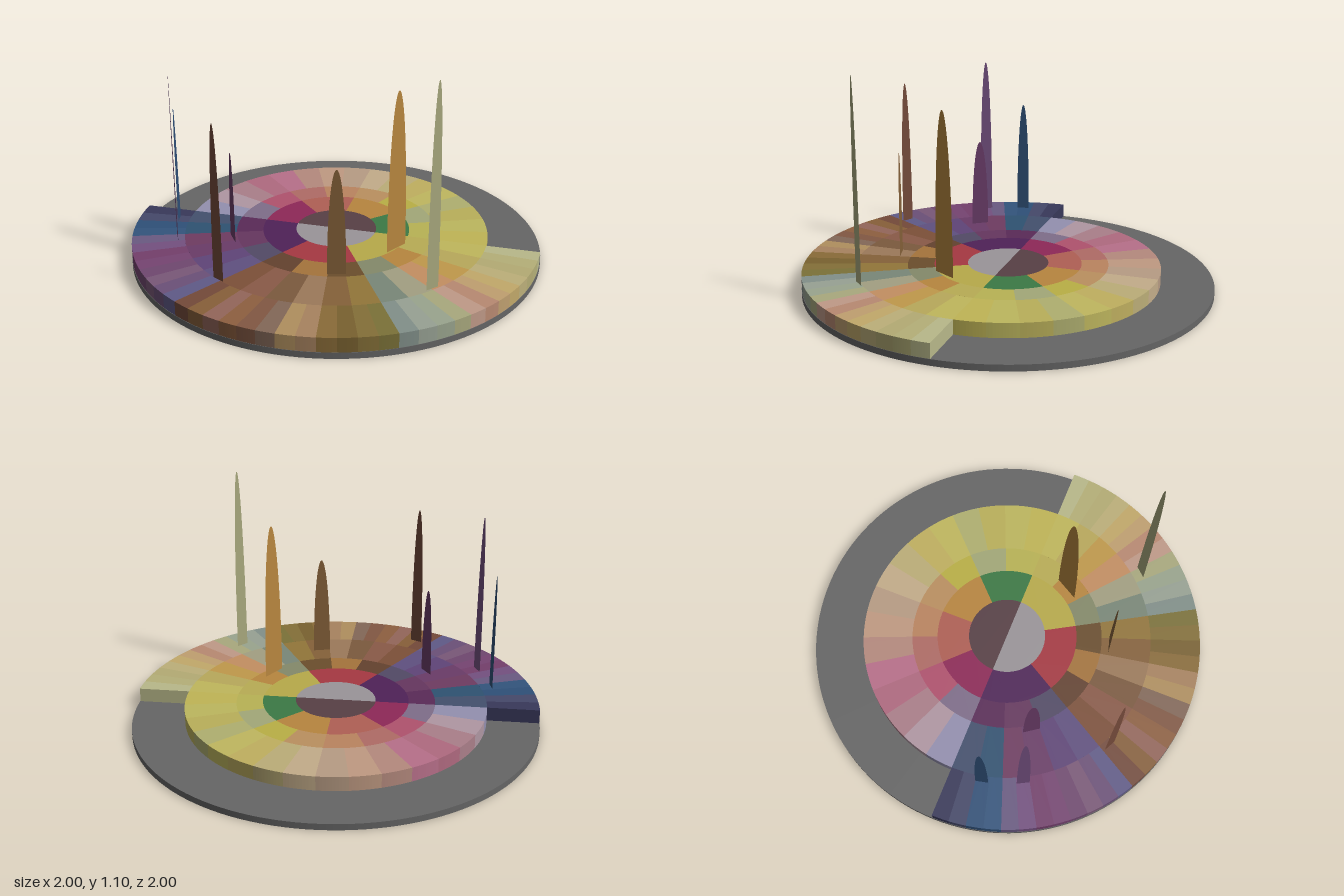
import * as THREE from 'three';

const RADII = [0, 0.197, 0.36, 0.49, 0.743, 0.998];
const BASE_TOP = 0.03, TILE_TOP = 0.1, FIN_FOOT = 0.135;

// Tile colours per ring from the centre outwards, each list starting at +x.
const FRONT = [
  [0x9a9599],
  [0xb8ab4a, 0xa63842, 0x4f2258],
  [0xb9ad55, 0xb8873f, 0x858a6a, 0x6b4e2c, 0xa5743c, 0x64422f, 0x524a66, 0x66365f, 0x5a2a58],
  [0xc0b75c, 0xb9a95b, 0xc0994b, 0xc48f62, 0xa3a082, 0x7a8878, 0x93763a, 0x86623a, 0x9c7a5a,
    0x7c5a3e, 0x8a5a48, 0x7d5038, 0x605080, 0x5f4478, 0x6a3c68, 0x6f3c62, 0x2f5272, 0x43506e],
  [0xb9b98a, 0xb5b078, 0xb4ac74, 0xbdb07a, 0xc2a96a, 0xc0a070, 0xb98a72, 0xc09a88, 0xa9a97e,
    0x9aa58e, 0x98a294, 0x82908a, 0x7c7238, 0x857038, 0x7a6230, 0x8a6c38, 0xa8835f, 0xb08f5e,
    0x836858, 0x825843, 0x8e6040, 0x94665a, 0x88603a, 0x744a3a, 0x605a88, 0x6c5078, 0x7a5878,
    0x704870, 0x764472, 0x743f6c, 0x745080, 0x6a5a82, 0x33557d, 0x2f5078, 0x45496a, 0x38385a],
];
const BACK = [
  [0x584046],
  [0x3c7a45, 0xb8863f, 0xb06055, 0x8e2858],
  [0xb9b355, 0xa3a878, 0xbab045, 0xbb9060, 0xbb8560, 0xb06c66, 0xb0526e, 0x7f6e8a],
  [0xc0b556, 0xbdb75e, 0xbab05a, 0xb0b070, 0xc0b85f, 0xc0b060, 0xbcae78, 0xc4ad8a,
    0xb89c84, 0xc09a82, 0xb58a7e, 0xb8708a, 0xb06a80, 0xab7f8a, 0xb097a3, 0x9490b0],
];

// Fins: ring, tile index within the front half, peak height.
const FINS = [
  [2, 1, 0.92], [3, 7, 0.645], [3, 14, 0.58],
  [4, 8, 1.1], [4, 23, 0.88], [4, 30, 0.955], [4, 33, 0.72],
];

// Ring sector between two angles, with its top at TILE_TOP.
function sectorGeometry(inner, outer, a0, a1) {
  const shape = new THREE.Shape();
  shape.absarc(0, 0, outer, a0, a1, false);
  if (inner > 0) shape.absarc(0, 0, inner, a1, a0, true);
  else shape.lineTo(outer * Math.cos(a0), outer * Math.sin(a0));
  const geometry = new THREE.ExtrudeGeometry(shape, {
    depth: TILE_TOP - BASE_TOP,
    bevelEnabled: false,
    curveSegments: Math.max(4, Math.ceil((a1 - a0) / 0.04)),
  });
  return geometry.rotateX(Math.PI / 2).translate(0, TILE_TOP, 0);
}

// One half of the chart; start is the angle of its first edge.
function chartHalf(name, rings, back) {
  const half = new THREE.Group();
  half.name = name;
  rings.forEach((colors, ring) => {
    const step = Math.PI / colors.length;
    colors.forEach((color, i) => {
      const a0 = back ? -(i + 1) * step : i * step;
      const tile = new THREE.Mesh(
        sectorGeometry(RADII[ring], RADII[ring + 1], a0, a0 + step),
        new THREE.MeshStandardMaterial({ color }),
      );
      tile.name = `ring${ring}Tile${i}`;
      half.add(tile);
    });
  });
  return half;
}

// Thin upright half-ellipse facing outwards, above the inner edge of its tile.
function fin([ring, index, peak]) {
  const step = Math.PI / FRONT[ring].length;
  const angle = (index + 0.5) * step;
  const radius = RADII[ring] + 0.036;
  const halfWidth = 0.94 * radius * Math.sin(step / 2);
  const shape = new THREE.Shape();
  shape.absellipse(0, 0, halfWidth, peak - FIN_FOOT, 0, Math.PI, false, 0);
  const mesh = new THREE.Mesh(
    new THREE.ShapeGeometry(shape, 40),
    new THREE.MeshStandardMaterial({ color: FRONT[ring][index], side: THREE.DoubleSide }),
  );
  mesh.position.set(radius * Math.cos(angle), FIN_FOOT, radius * Math.sin(angle));
  mesh.rotation.y = Math.PI / 2 - angle;
  mesh.name = `fin${ring}_${index}`;
  return mesh;
}

export function createModel() {
  const model = new THREE.Group();
  model.name = 'sunburstChart';

  // Base disc
  const base = new THREE.Mesh(
    new THREE.CylinderGeometry(1, 1, BASE_TOP, 128).translate(0, BASE_TOP / 2, 0),
    new THREE.MeshStandardMaterial({ color: 0x666666 }),
  );
  base.name = 'baseDisc';
  model.add(base);

  // Coloured tiles
  model.add(chartHalf('frontTiles', FRONT, false), chartHalf('backTiles', BACK, true));

  // Upright fins
  const fins = new THREE.Group();
  fins.name = 'fins';
  FINS.forEach((f) => fins.add(fin(f)));
  model.add(fins);
  return model;
}
